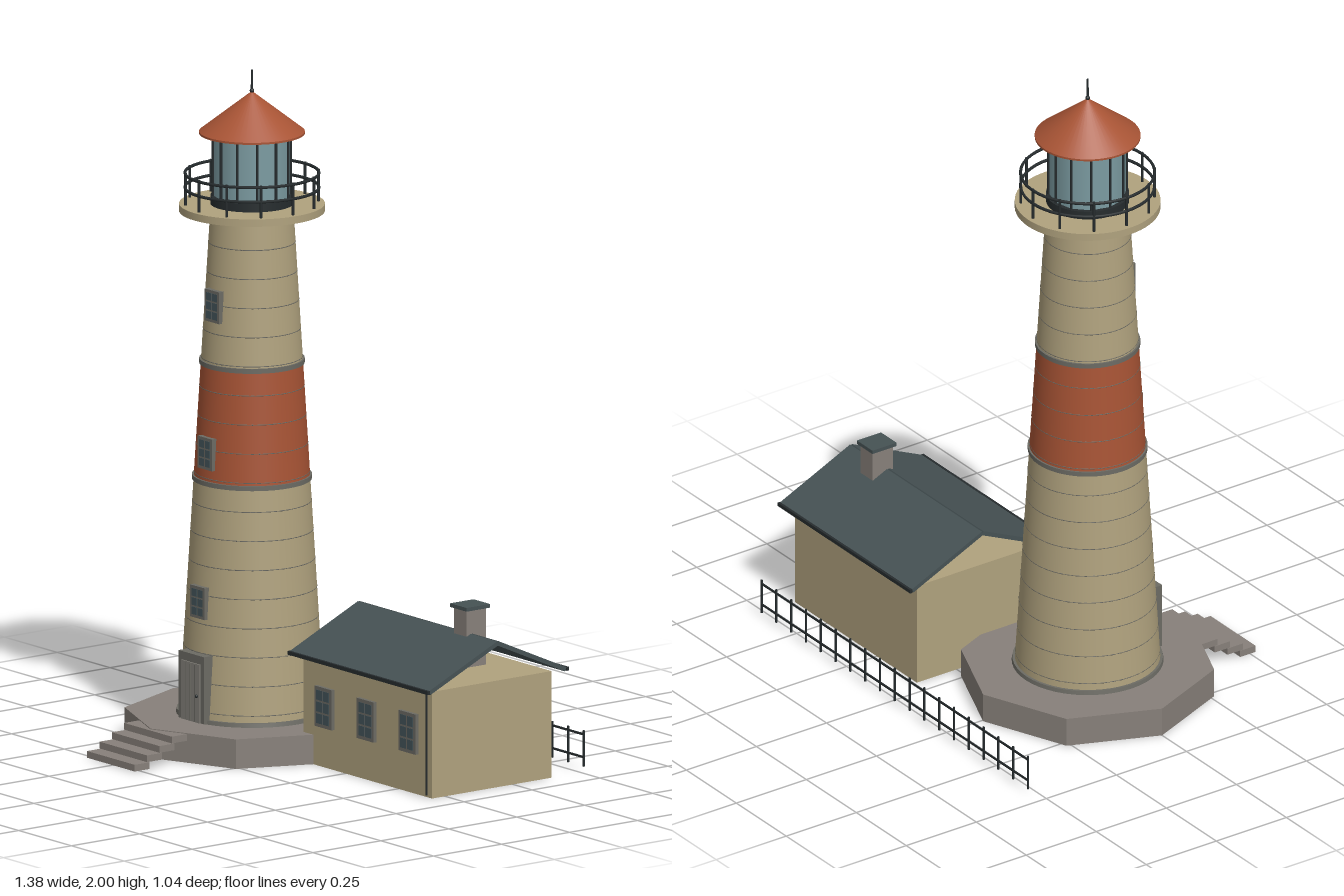
import * as THREE from 'three';

const mat = (name, color, extra = {}) => {
  const m = new THREE.MeshStandardMaterial({ color, ...extra });
  m.name = name;
  return m;
};

export function createModel() {
  const cream = mat('cream wall', 0xb0a27e);
  const red = mat('red paint', 0xa85435);
  const stone = mat('stone', 0x87807a);
  const slate = mat('slate roof', 0x465254);
  const iron = mat('dark iron', 0x262c2e);
  const glass = mat('lantern glass', 0x7c9ca2);
  const trim = mat('grey trim', 0x6c6b64);
  const pane = mat('window pane', 0x43545a);
  const doorGrey = mat('door grey', 0x85827b);

  const root = new THREE.Group();
  root.name = 'lighthouse';
  const add = (parent, name, geo, material, x = 0, y = 0, z = 0) => {
    const m = new THREE.Mesh(geo, material);
    m.name = name;
    m.position.set(x, y, z);
    parent.add(m);
    return m;
  };
  const box = (parent, name, material, w, h, d, x, y, z) =>
    add(parent, name, new THREE.BoxGeometry(w, h, d), material, x, y, z);
  // upright cylinder between two heights
  const drum = (parent, name, material, rTop, rBottom, y0, y1, seg = 48) =>
    add(parent, name, new THREE.CylinderGeometry(rTop, rBottom, y1 - y0, seg), material, 0, (y0 + y1) / 2, 0);
  const ring = (parent, name, material, r, tube, y) => {
    const m = add(parent, name, new THREE.TorusGeometry(r, tube, 6, 48), material, 0, y, 0);
    m.rotation.x = Math.PI / 2;
    return m;
  };

  // window with 2 x 3 panes, front face at z
  const windowUnit = (parent, name, w, h, x, y, z, depth) => {
    const g = new THREE.Group();
    g.name = name;
    g.position.set(x, y, z);
    parent.add(g);
    box(g, 'windowFrame', trim, w, h, depth, 0, 0, -depth / 2);
    const b = w * 0.13, bar = w * 0.07;
    const pw = (w - 2 * b - bar) / 2, ph = (h - 2 * b - 2 * bar) / 3;
    for (let i = 0; i < 2; i++)
      for (let j = 0; j < 3; j++)
        box(g, 'windowPane', pane, pw, ph, 0.003, (i - 0.5) * (pw + bar), (j - 1) * (ph + bar), 0);
  };

  // ---- tower ----
  const tower = new THREE.Group();
  tower.name = 'tower';
  tower.position.x = -0.255;
  root.add(tower);
  const radiusAt = (y) => 0.212 - (0.09 * (y - 0.09)) / 1.48;

  const base = new THREE.CylinderGeometry(0.373, 0.373, 0.088, 8).toNonIndexed();
  base.computeVertexNormals();
  add(tower, 'octagonBase', base, stone, 0, 0.044, 0);
  drum(tower, 'towerFoot', trim, 0.219, 0.221, 0.088, 0.1);

  [['lowerShaft', cream, 0.09, 0.79], ['redBand', red, 0.79, 1.135], ['upperShaft', cream, 1.135, 1.57]]
    .forEach(([name, m, y0, y1]) => drum(tower, name, m, radiusAt(y1), radiusAt(y0), y0, y1, 64));
  [0.79, 1.135].forEach((y) => drum(tower, 'bandRing', trim, radiusAt(y) + 0.005, radiusAt(y) + 0.005, y - 0.007, y + 0.007));
  // masonry course lines
  for (let k = 0; k < 17; k++) {
    const y = 0.12 + k * 0.0856;
    ring(tower, 'courseLine', trim, radiusAt(y) - 0.0012, 0.002, y);
  }

  [0.44, 0.88, 1.315].forEach((y) =>
    windowUnit(tower, 'towerWindow', 0.068, 0.095, 0, y, radiusAt(y) + 0.01, 0.035));

  // door
  box(tower, 'doorFrame', trim, 0.12, 0.2, 0.06, 0, 0.19, 0.193);
  box(tower, 'doorLeaf', doorGrey, 0.088, 0.175, 0.006, 0, 0.1775, 0.224);
  for (let i = -1; i <= 1; i++) box(tower, 'plankGap', trim, 0.003, 0.17, 0.002, i * 0.022, 0.177, 0.2275);
  add(tower, 'doorKnob', new THREE.SphereGeometry(0.005, 10, 8), iron, 0.033, 0.17, 0.23);

  // floating stair treads
  for (let i = 0; i < 4; i++)
    box(tower, 'stairTread', stone, 0.226, 0.02, 0.055, 0, 0.011 + i * 0.0215, 0.4915 - i * 0.0455);

  // ---- gallery ----
  drum(tower, 'galleryCollar', trim, 0.135, 0.13, 1.562, 1.582);
  drum(tower, 'galleryDeck', cream, 0.212, 0.212, 1.58, 1.602, 64);
  [1.65, 1.693].forEach((y) => ring(tower, 'galleryRail', iron, 0.195, 0.0045, y));
  for (let i = 0; i < 12; i++) {
    const a = (i * Math.PI) / 6;
    add(tower, 'galleryPost', new THREE.CylinderGeometry(0.004, 0.004, 0.1, 8), iron,
      0.195 * Math.sin(a), 1.648, 0.195 * Math.cos(a));
    add(tower, 'lanternBar', new THREE.CylinderGeometry(0.004, 0.004, 0.2, 8), iron,
      0.114 * Math.sin(a), 1.715, 0.114 * Math.cos(a));
  }

  // ---- lantern ----
  drum(tower, 'lanternSill', iron, 0.121, 0.121, 1.6, 1.627);
  drum(tower, 'lanternGlass', glass, 0.112, 0.112, 1.62, 1.815, 12);
  drum(tower, 'lanternHead', iron, 0.118, 0.118, 1.805, 1.815);
  drum(tower, 'lanternRoofLip', red, 0.154, 0.154, 1.811, 1.817);
  add(tower, 'lanternRoof', new THREE.ConeGeometry(0.154, 0.12, 48), red, 0, 1.877, 0);
  drum(tower, 'spire', iron, 0.003, 0.004, 1.92, 2.0, 8);
  add(tower, 'spireBall', new THREE.SphereGeometry(0.007, 10, 8), iron, 0, 1.938, 0);

  // ---- keeper's house ----
  const house = new THREE.Group();
  house.name = 'house';
  house.position.set(0.355, 0, -0.175);
  root.add(house);
  box(house, 'houseWalls', cream, 0.61, 0.318, 0.44, 0, 0.159, 0.003);

  // two sloping roof slabs over open gables, with gutters
  const run = 0.25, rise = 0.113, slope = Math.atan2(rise, run);
  [1, -1].forEach((s) => {
    const slab = box(house, 'roofSlab', slate, 0.66, 0.013, Math.hypot(run, rise), 0, 0.323 + rise / 2, (s * run) / 2);
    slab.rotation.x = s * slope;
    box(house, 'gutter', iron, 0.664, 0.011, 0.008, 0, 0.324, s * 0.256);
  });
  add(house, 'downpipe', new THREE.CylinderGeometry(0.003, 0.003, 0.305, 8), iron, 0.321, 0.17, 0.255);

  box(house, 'chimney', stone, 0.06, 0.175, 0.072, 0.175, 0.43, -0.018);
  box(house, 'chimneyCap', slate, 0.078, 0.011, 0.086, 0.175, 0.518, -0.018);
  [-0.198, 0.002, 0.2].forEach((x) => windowUnit(house, 'houseWindow', 0.08, 0.12, x, 0.18, 0.234, 0.02));

  // ---- fence ----
  const fence = new THREE.Group();
  fence.name = 'fence';
  fence.position.set(-0.022, 0, -0.522);
  root.add(fence);
  for (let i = 0; i < 19; i++)
    box(fence, 'fencePost', iron, 0.005, 0.108, 0.005, -0.667 + (i * 1.334) / 18, 0.066, 0);
  [0.04, 0.108].forEach((y) => box(fence, 'fenceRail', iron, 1.336, 0.006, 0.004, 0, y, 0));

  return root;
}
